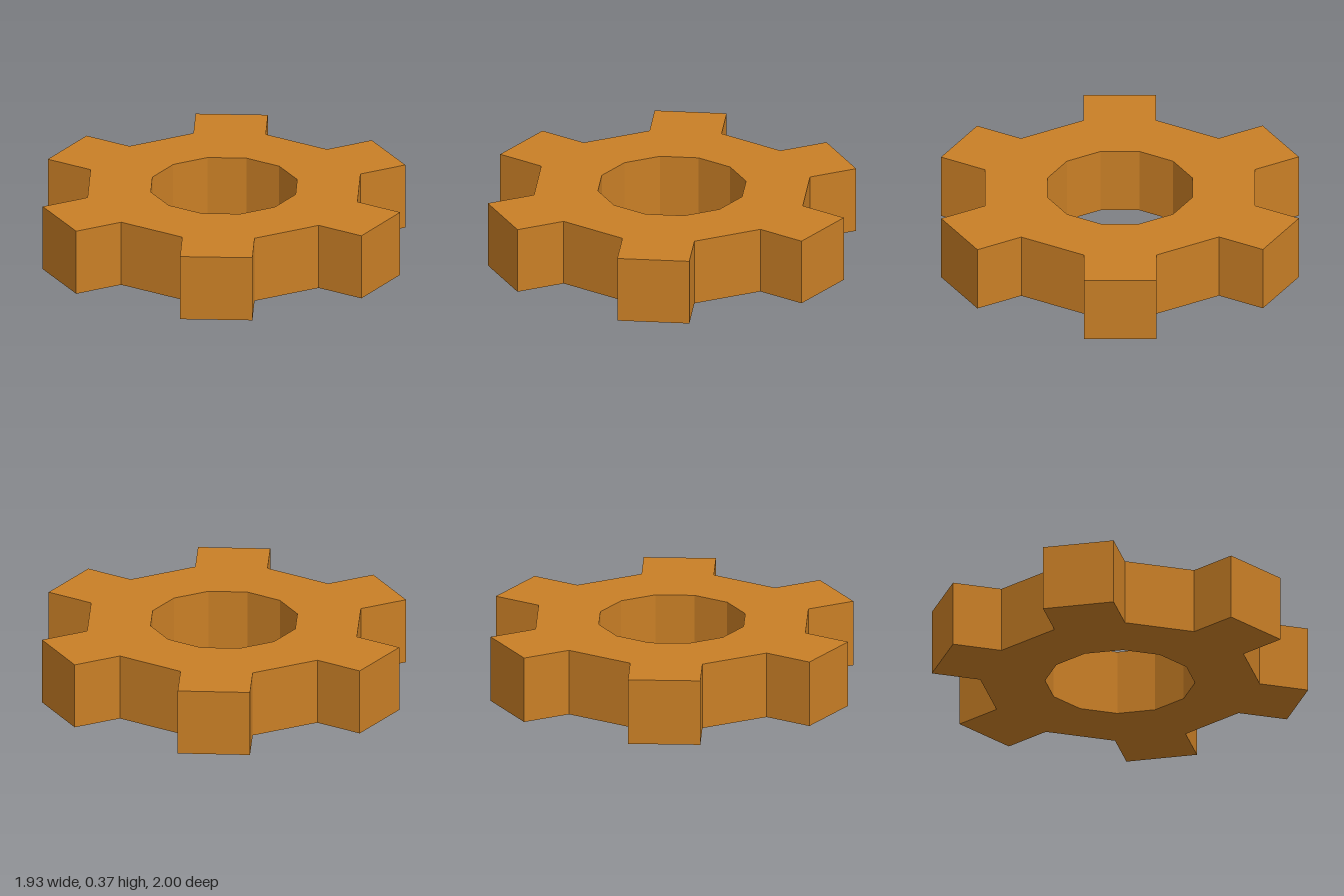
import * as THREE from 'three';

const HEIGHT = 0.365, TEETH = 6;
const ROOT = 0.753, TIP = 1, BORE = 0.404;

export function createModel() {
  const group = new THREE.Group();
  group.name = 'gear';
  const bronze = new THREE.MeshStandardMaterial({ color: 0xc97f26, flatShading: true });
  bronze.name = 'bronze';

  // Outline: a twelve-sided body with a straight-sided tooth on every other side
  const halfWidth = ROOT * Math.sin(Math.PI / 12);
  const rootDistance = ROOT * Math.cos(Math.PI / 12);
  const outline = [];
  for (let i = 0; i < TEETH; i++) {
    const angle = Math.PI / 2 + (i / TEETH) * Math.PI * 2;
    for (const [r, side] of [[rootDistance, -1], [TIP, -1], [TIP, 1], [rootDistance, 1]]) {
      outline.push(new THREE.Vector2(r, side * halfWidth).rotateAround(new THREE.Vector2(), angle));
    }
  }
  const shape = new THREE.Shape(outline);

  // Twelve-sided centre bore
  const bore = [];
  for (let i = 0; i < 12; i++) {
    const angle = Math.PI / 12 - (i / 12) * Math.PI * 2;
    bore.push(new THREE.Vector2(Math.cos(angle) * BORE, Math.sin(angle) * BORE));
  }
  shape.holes.push(new THREE.Path(bore));

  // Extrude and lay flat on the ground
  const geometry = new THREE.ExtrudeGeometry(shape, { depth: HEIGHT, bevelEnabled: false });
  geometry.rotateX(-Math.PI / 2);
  const body = new THREE.Mesh(geometry, bronze);
  body.name = 'gearBody';
  group.add(body);
  return group;
}
